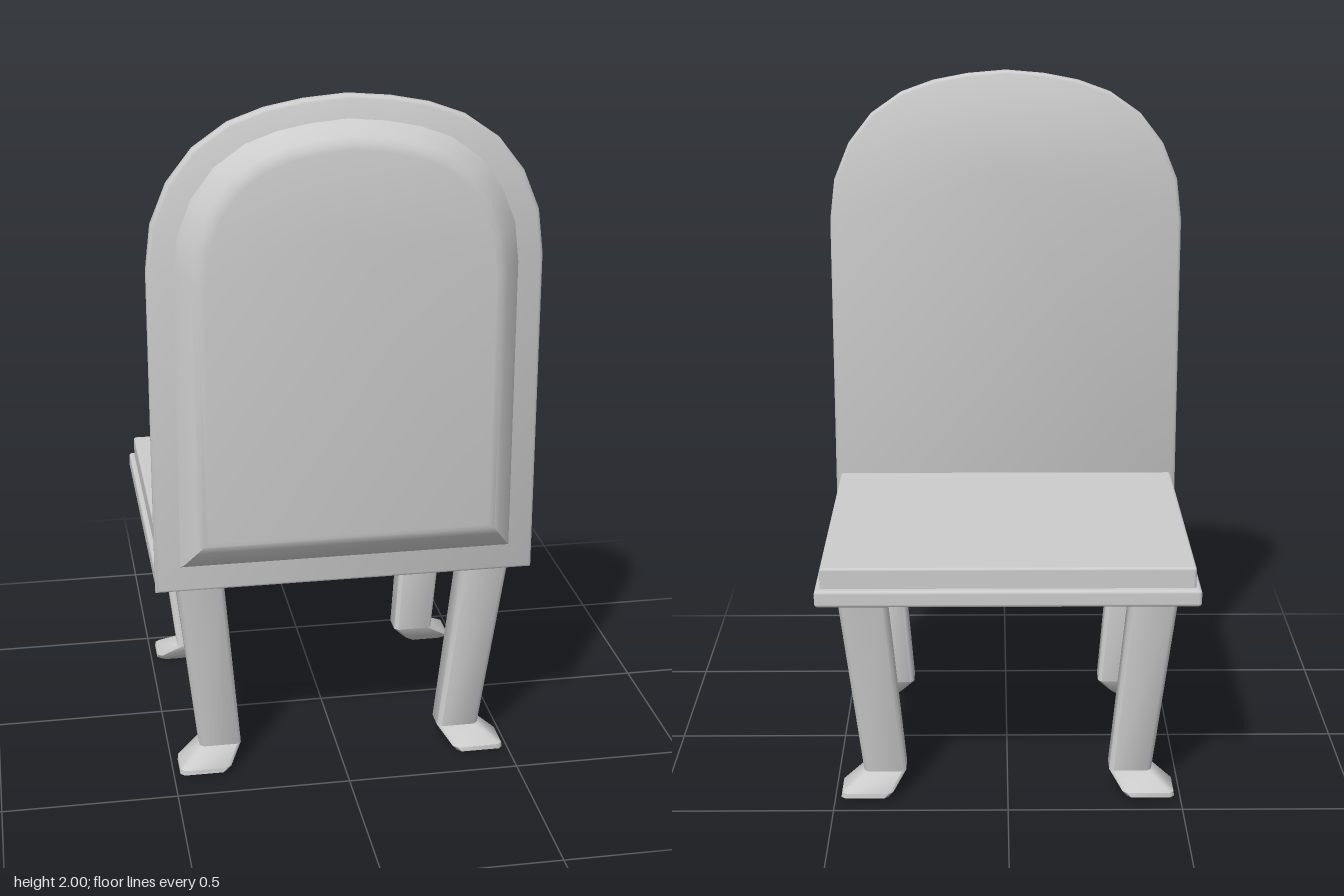
import * as THREE from 'three';
import { toCreasedNormals } from 'three/addons/utils/BufferGeometryUtils.js';
import { RoundedBoxGeometry } from 'three/addons/geometries/RoundedBoxGeometry.js';

const material = new THREE.MeshStandardMaterial({ color: 0xcccccc });

// Skin a row of convex rings (each an array of [x, y, z]) and cap both ends.
function loft(rings, crease) {
  const pos = [];
  const tri = (a, b, c) => pos.push(...a, ...b, ...c);
  const n = rings[0].length;
  const middle = (r) => [0, 1, 2].map((k) => r.reduce((s, p) => s + p[k], 0) / n);
  const first = rings[0], last = rings[rings.length - 1];
  const c0 = middle(first), c1 = middle(last);
  for (let i = 0; i < n; i++) {
    const j = (i + 1) % n;
    for (let k = 0; k < rings.length - 1; k++) {
      const a = rings[k], b = rings[k + 1];
      tri(a[i], a[j], b[j]);
      tri(a[i], b[j], b[i]);
    }
    tri(c0, first[j], first[i]);
    tri(c1, last[i], last[j]);
  }
  const geometry = new THREE.BufferGeometry();
  geometry.setAttribute('position', new THREE.Float32BufferAttribute(pos, 3));
  return toCreasedNormals(geometry, crease);
}

// Right half of the arch, normalised to half width 1 and height 0..1.
const halfArch = [
  [0.54, 0.61], [0.54, 1.545], [0.525, 1.67], [0.48, 1.78], [0.41, 1.87],
  [0.317, 1.935], [0.22, 1.97], [0.116, 1.99],
].map(([x, y]) => [x / 0.54, (y - 0.61) / 1.39]);
const arch = [...halfArch, [0, 1], ...halfArch.map(([x, y]) => [-x, y]).reverse()];

// Arch ring: half width, bottom, top, depth position.
const archRing = ([w, lo, hi, z]) => arch.map(([x, y]) => [x * w, lo + y * (hi - lo), z]);

// Leg ring: chamfered rectangle, mirrored by sx and sz.
function legRing([y, x0, x1, z0, z1], sx, sz) {
  const c = 0.012;
  const ring = [
    [x0 + c, z0], [x1 - c, z0], [x1, z0 + c], [x1, z1 - c],
    [x1 - c, z1], [x0 + c, z1], [x0, z1 - c], [x0, z0 + c],
  ].map(([x, z]) => [sx * x, y, sz * z]);
  return sx * sz < 0 ? ring.reverse() : ring;
}

export function createModel() {
  const group = new THREE.Group();
  const add = (name, geometry, x = 0, y = 0, z = 0) => {
    const mesh = new THREE.Mesh(geometry, material);
    mesh.name = name;
    mesh.position.set(x, y, z);
    group.add(mesh);
  };

  // Seat board and the pad on it
  add('seatBoard', new RoundedBoxGeometry(1.08, 0.05, 0.9, 2, 0.01), 0, 0.645, -0.05);
  add('seatPad', new RoundedBoxGeometry(1.05, 0.08, 0.88, 2, 0.008), 0, 0.69, -0.04);

  // Arched back panel with softened edges
  add('backPanel', loft([
    [0.53, 0.62, 1.99, 0.39], [0.537, 0.613, 1.997, 0.394], [0.54, 0.61, 2, 0.402],
    [0.54, 0.61, 2, 0.42], [0.537, 0.613, 1.997, 0.428], [0.53, 0.62, 1.99, 0.432],
  ].map(archRing), 0.8));

  // Raised bulge on the rear of the back panel
  add('backBulge', loft([
    [0.472, 0.685, 1.94, 0.428], [0.46, 0.70, 1.928, 0.447], [0.427, 0.748, 1.902, 0.483],
    [0.41, 0.77, 1.886, 0.496], [0.393, 0.785, 1.868, 0.5],
  ].map(archRing), 0.75));

  // Four slanted legs with outward feet: y, x range, z range (z from the legs' middle)
  const legSections = [
    [0.63, 0.346, 0.482, 0.325, 0.423],
    [0.065, 0.296, 0.418, 0.278, 0.364],
    [0.022, 0.332, 0.48, 0.308, 0.422],
    [0.008, 0.345, 0.482, 0.318, 0.423],
    [0, 0.355, 0.465, 0.325, 0.405],
  ];
  for (const sx of [1, -1]) {
    for (const sz of [1, -1]) {
      const name = (sz < 0 ? 'seatEnd' : 'backrestEnd') + (sx > 0 ? 'LeftLeg' : 'RightLeg');
      add(name, loft(legSections.map((s) => legRing(s, sx, sz)), 0.85), 0, 0, -0.018);
    }
  }
  return group;
}
